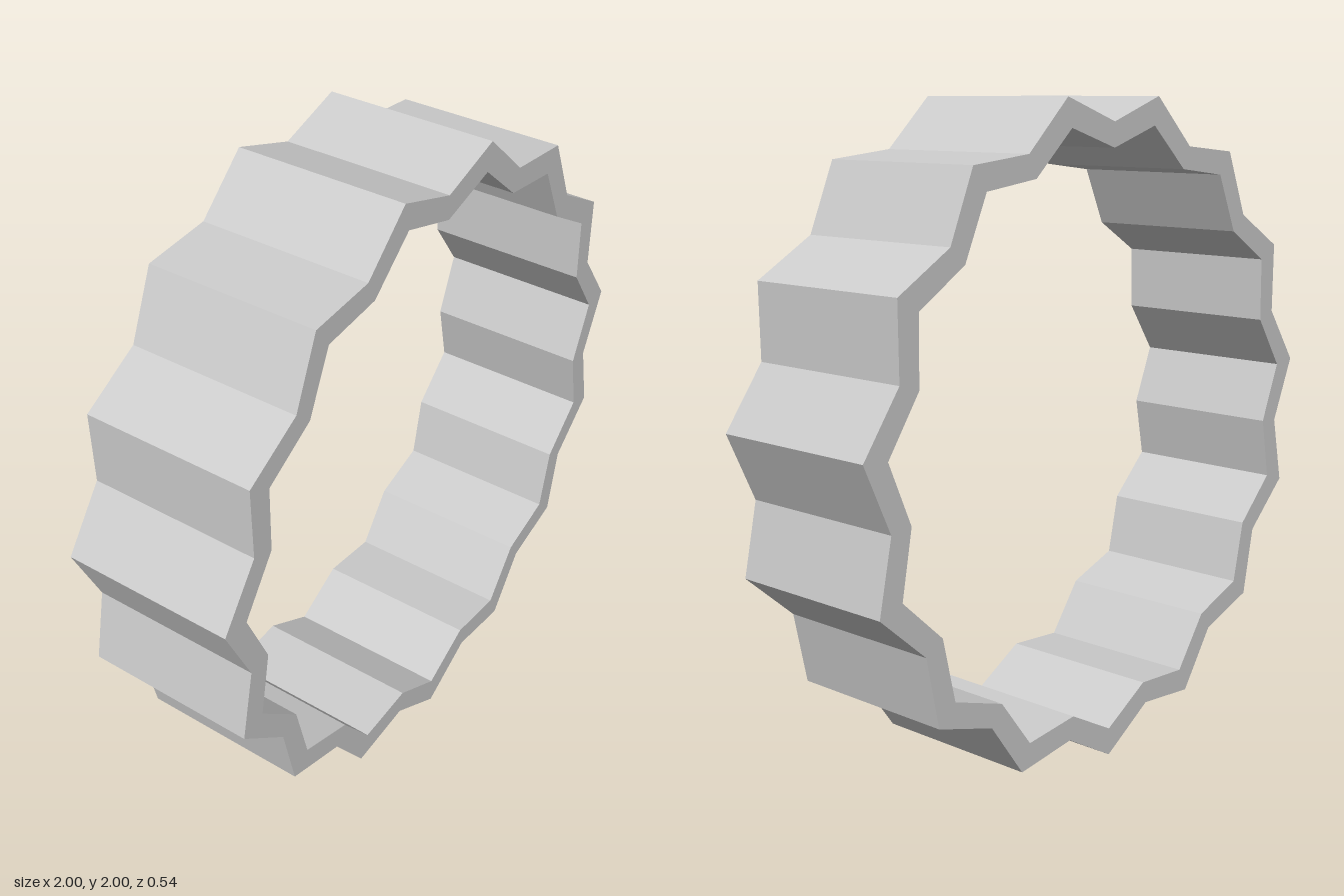
import * as THREE from 'three';

const TEETH = 15;
const DEPTH = 0.535;
const CENTER_Y = 1.0112;
const STRETCH_Y = 1.0057;

// Zigzag loop alternating between peak and valley radii, first peak at the bottom
function zigzag(peak, valley) {
  const points = [];
  for (let i = 0; i < TEETH * 2; i++) {
    const angle = -Math.PI / 2 + (i * Math.PI) / TEETH;
    const r = i % 2 === 0 ? peak : valley;
    points.push(new THREE.Vector2(
      r * Math.cos(angle),
      CENTER_Y + r * STRETCH_Y * Math.sin(angle)
    ));
  }
  return points;
}

export function createModel() {
  const group = new THREE.Group();
  group.name = 'corrugatedRing';

  // Pleated band: outer zigzag with a matching zigzag opening
  const profile = new THREE.Shape(zigzag(1.0055, 0.914));
  profile.holes.push(new THREE.Path(zigzag(0.9195, 0.841)));
  const geometry = new THREE.ExtrudeGeometry(profile, { depth: DEPTH, bevelEnabled: false });
  geometry.translate(0, 0, -DEPTH / 2);

  const material = new THREE.MeshStandardMaterial({ color: 0xcccccc, flatShading: true });
  const band = new THREE.Mesh(geometry, material);
  band.name = 'pleatedBand';
  group.add(band);
  return group;
}
